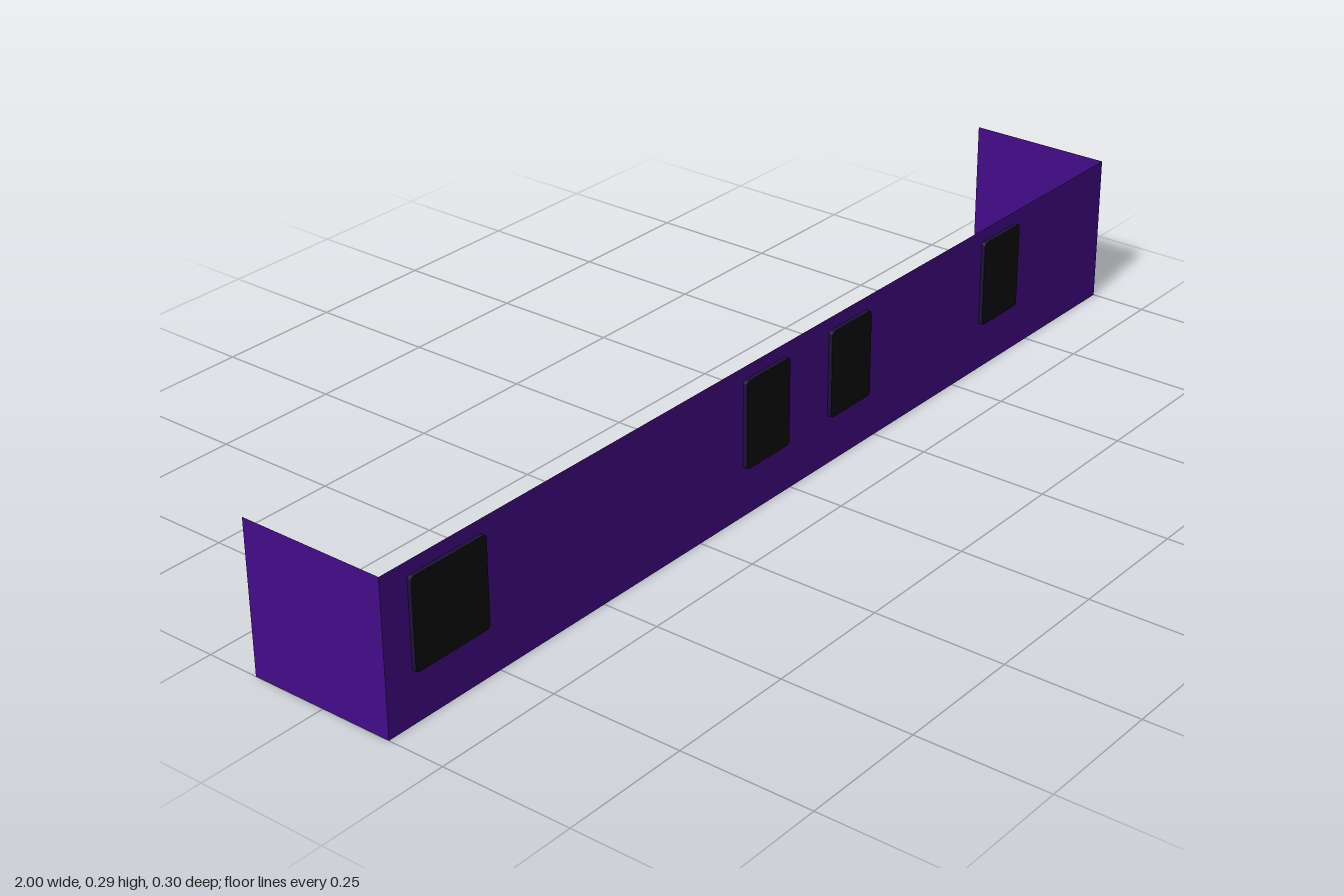
import * as THREE from 'three';

const LENGTH = 2, HEIGHT = 0.286, FRONT_Z = 0.14, BACK_Z = -0.147;

function material(name, color, side = THREE.FrontSide) {
  const m = new THREE.MeshStandardMaterial({ color, side });
  m.name = name;
  return m;
}

function roundedRect(w, h, r) {
  const s = new THREE.Shape();
  const x = w / 2, y = h / 2;
  s.moveTo(-x + r, -y);
  s.lineTo(x - r, -y);
  s.quadraticCurveTo(x, -y, x, -y + r);
  s.lineTo(x, y - r);
  s.quadraticCurveTo(x, y, x - r, y);
  s.lineTo(-x + r, y);
  s.quadraticCurveTo(-x, y, -x, y - r);
  s.lineTo(-x, -y + r);
  s.quadraticCurveTo(-x, -y, -x + r, -y);
  return s;
}

export function createModel() {
  const group = new THREE.Group();
  const purple = material('purple panel', 0x440b8a, THREE.DoubleSide);
  const black = material('black glass', 0x0d0d0d);
  const trim = material('dark purple trim', 0x1f1038);

  function add(name, geometry, mat, x, y, z, turn = 0) {
    const mesh = new THREE.Mesh(geometry, mat);
    mesh.name = name;
    mesh.position.set(x, y, z);
    mesh.rotation.y = turn;
    group.add(mesh);
  }

  // Long front sheet and the two end sheets folded backwards
  add('frontWall', new THREE.PlaneGeometry(LENGTH, HEIGHT), purple, 0, HEIGHT / 2, FRONT_Z);
  for (const side of [-1, 1]) {
    add(side > 0 ? 'leftEndWall' : 'rightEndWall',
      new THREE.PlaneGeometry(FRONT_Z - BACK_Z, HEIGHT), purple,
      side * LENGTH / 2, HEIGHT / 2, (FRONT_Z + BACK_Z) / 2, side * Math.PI / 2);
  }

  // Windows set through the front sheet: [centre x, width]
  const windows = [[-0.86, 0.165], [-0.074, 0.12], [0.165, 0.116], [0.64, 0.116]];
  const windowHeight = 0.168, windowY = 0.177;
  windows.forEach(([x, width], i) => {
    const pane = new THREE.ExtrudeGeometry(roundedRect(width, windowHeight, 0.008),
      { depth: 0.009, bevelEnabled: false, curveSegments: 4 });
    add('window' + (i + 1), pane, [black, trim], x, windowY, FRONT_Z - 0.001);
  });

  // Trim backing behind the third window
  add('windowBacking', new THREE.ShapeGeometry(roundedRect(0.116, 0.14, 0.008), 4), trim,
    0.165, 0.191, FRONT_Z - 0.002, Math.PI);

  return group;
}
